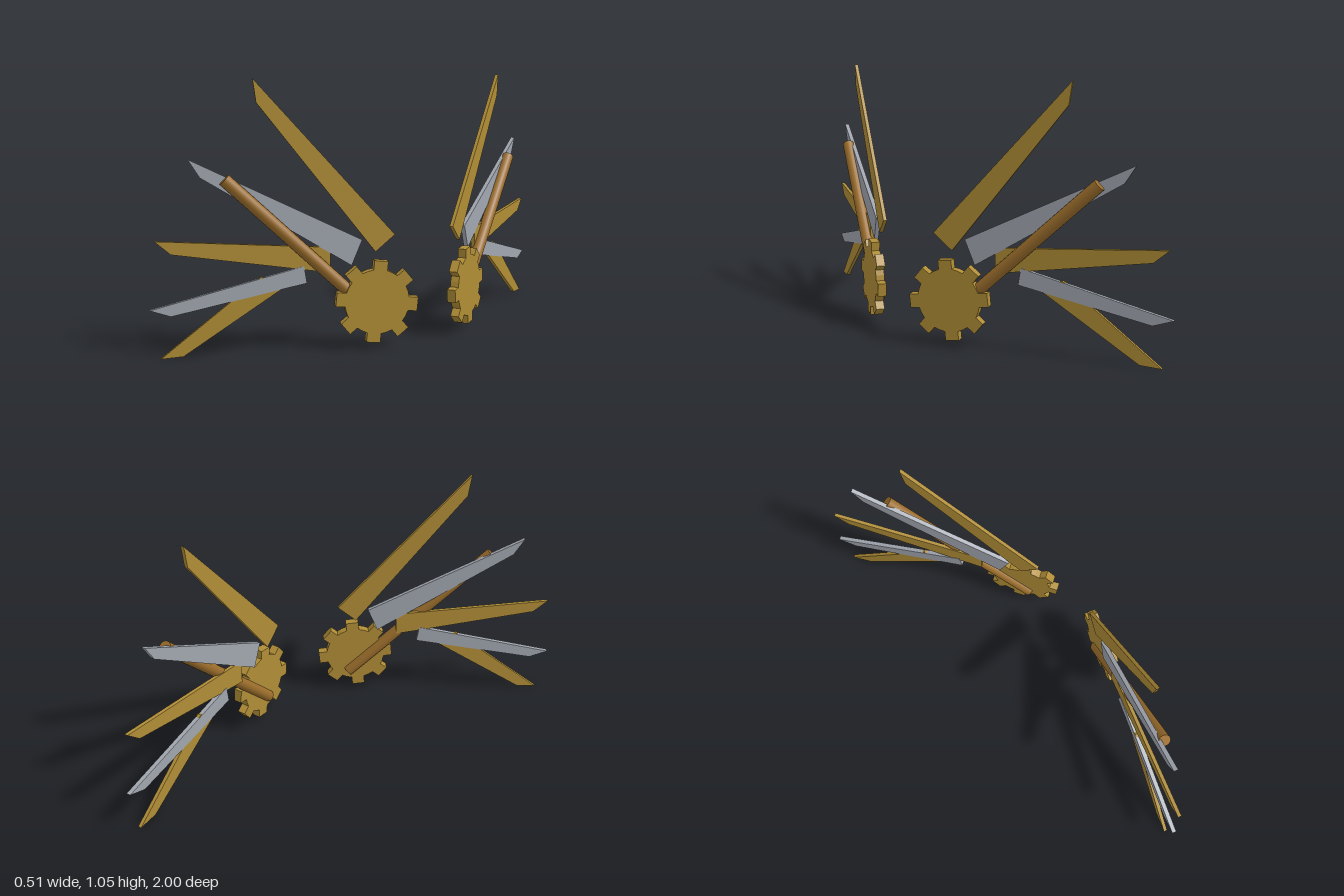
import * as THREE from 'three';

const gold = new THREE.MeshStandardMaterial({ name: 'gold', color: 0xb08d36 });
const silver = new THREE.MeshStandardMaterial({ name: 'silver', color: 0xa1a6af });
const bronze = new THREE.MeshStandardMaterial({ name: 'bronze', color: 0x9c6e2c });

const TILT = THREE.MathUtils.degToRad(26.5); // sweep of each wing away from the z axis

// Blade outlines (along the wing, up): tip, lower tip, lower root, upper root
const FEATHERS = [
  ['topFeather', gold, [[0.6, 1.055], [0.588, 0.965], [0.134, 0.38], [0.056, 0.446]]],
  ['upperSilverFeather', silver, [[0.845, 0.757], [0.802, 0.687], [0.229, 0.33], [0.187, 0.43]]],
  ['middleFeather', gold, [[0.975, 0.452], [0.916, 0.4], [0.313, 0.305], [0.311, 0.405]]],
  ['lowerSilverFeather', silver, [[1.0, 0.19], [0.922, 0.163], [0.405, 0.268], [0.415, 0.335]]],
  ['bottomFeather', gold, [[0.964, 0], [0.88, 0.005], [0.47, 0.27], [0.58, 0.3]]],
];

// Flat outline extruded to a thickness centred on z = 0
function plate(name, points, thickness, material) {
  const shape = new THREE.Shape(points.map(([x, y]) => new THREE.Vector2(x, y)));
  const geometry = new THREE.ExtrudeGeometry(shape, { depth: thickness, bevelEnabled: false });
  geometry.translate(0, 0, -thickness / 2);
  const mesh = new THREE.Mesh(geometry, material);
  mesh.name = name;
  return mesh;
}

// Cog outline with straight-sided teeth
function gearPoints(teeth, root, outer, toothWidth, phase) {
  const points = [];
  const half = toothWidth / 2;
  for (let i = 0; i < teeth; i++) {
    const a = phase + (i / teeth) * Math.PI * 2;
    const inner = Math.sqrt(root * root - half * half);
    for (const [r, w] of [[inner, -half], [outer, -half], [outer, half], [inner, half]]) {
      points.push([r * Math.cos(a) - w * Math.sin(a), r * Math.sin(a) + w * Math.cos(a)]);
    }
    const gap = a + Math.PI / teeth;
    points.push([root * Math.cos(gap), root * Math.sin(gap)]);
  }
  return points;
}

// Round rod between two points in the wing plane
function rod(name, from, to, radius, material) {
  const a = new THREE.Vector3(...from, 0);
  const b = new THREE.Vector3(...to, 0);
  const dir = b.clone().sub(a);
  const mesh = new THREE.Mesh(new THREE.CylinderGeometry(radius, radius, dir.length(), 20), material);
  mesh.position.copy(a).add(b).multiplyScalar(0.5);
  mesh.quaternion.setFromUnitVectors(new THREE.Vector3(0, 1, 0), dir.normalize());
  mesh.name = name;
  return mesh;
}

// One wing in its own plane; side is +1 for the front wing, -1 for the back one
function wing(side) {
  const group = new THREE.Group();
  group.name = side > 0 ? 'frontWing' : 'backWing';
  const outward = -side; // local z direction of the wing's outer face

  // Feathers
  for (const [name, material, points] of FEATHERS) {
    const feather = plate(name, points, material === silver ? 0.018 : 0.015, material);
    feather.position.z = outward * 0.222;
    group.add(feather);
  }

  // Strut between the feathers and the gear
  const strut = rod('strut', [0.105, 0.1], [0.713, 0.68], 0.025, bronze);
  strut.position.z = outward * 0.243;
  group.add(strut);

  // Gear at the wing root
  const phase = THREE.MathUtils.degToRad(6);
  const gear = plate('gear', gearPoints(8, 0.128, 0.162, 0.055, phase), 0.036, gold);
  gear.position.set(0.136, 0.19, outward * 0.256);
  group.add(gear);

  group.rotation.y = Math.atan2(-side * Math.cos(TILT), -Math.sin(TILT));
  return group;
}

export function createModel() {
  const model = new THREE.Group();
  model.name = 'mechanicalWings';
  model.add(wing(1), wing(-1));
  return model;
}
